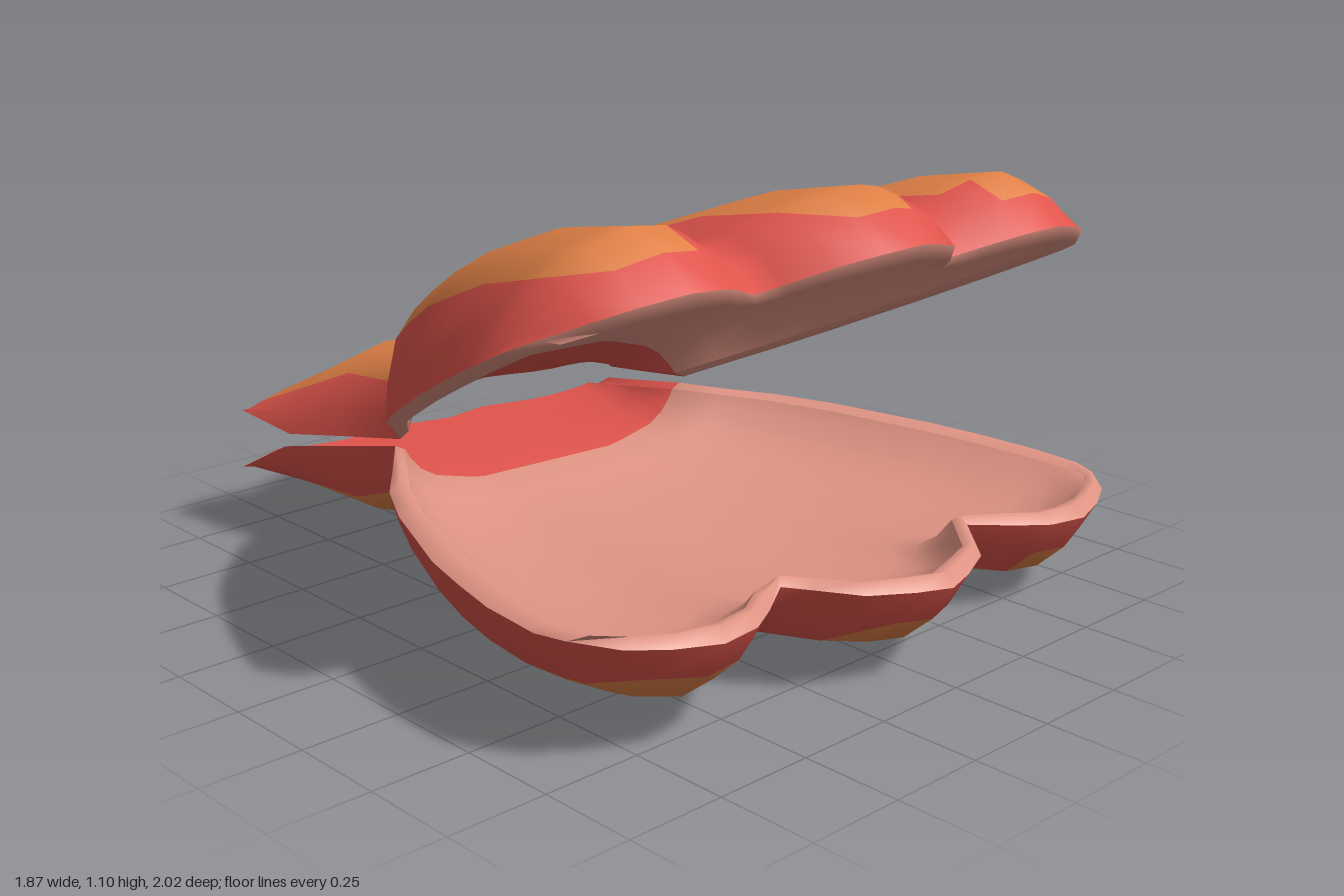
import * as THREE from 'three';

const mat = (name, color) => Object.assign(new THREE.MeshStandardMaterial({ color, side: THREE.DoubleSide }), { name });

// Piecewise-linear lookup through [key, value] pairs
function curve(pts) {
  return (t) => {
    if (t <= pts[0][0]) return pts[0][1];
    for (let i = 1; i < pts.length; i++) {
      const [a, va] = pts[i - 1], [b, vb] = pts[i];
      if (t <= b) return va + (vb - va) * (t - a) / (b - a);
    }
    return pts[pts.length - 1][1];
  };
}

// s runs across (-1..1), f runs from the back edge (-1) over the hinge (0) to the front rim (1)
const half = [0, 0.1, 0.22, 0.3, 0.355, 0.47, 0.56, 0.68, 0.8, 0.9, 0.97, 1];
const S = [...half.slice(1).reverse().map((v) => -v), ...half];
const F = [-1, -0.7, -0.4, 0, 0.1, 0.21, 0.35, 0.47, 0.6, 0.73, 0.85, 0.91, 0.965, 1];

// Plan outline
const width = curve([[-1, 0.61], [-0.4, 0.54], [0, 0.5], [0.26, 0.72], [0.63, 0.87], [0.85, 0.915], [1, 0.92]]);
const frontReach = curve([[0, 1.4], [0.2, 1.34], [0.355, 1.18], [0.54, 1.29], [0.7, 1.31], [0.85, 1.25], [0.935, 1.2], [1, 1.05]]);
const backReach = curve([[0, 0.515], [0.3, 0.61], [0.57, 0.51], [1, 0.565]]);

// Dome: side-to-side arch, grooves between the lobes that deepen towards the front, and depth along the shell
const arch = curve([[0.68, 1], [0.8, 0.9], [0.9, 0.7], [0.97, 0.35], [1, 0]]);
const groove = curve([[0, 0], [0.1, 0.08], [0.22, 0.4], [0.3, 0.8], [0.355, 1], [0.47, 0.45], [0.56, 0.12], [0.68, 0]]);
const grooveDepth = curve([[-1, 0.14], [0, 0.1], [0.35, 0.12], [0.73, 0.2], [0.91, 0.25]]);
const outerDepth = curve([[-1, 0.11], [-0.4, 0.225], [0, 0.19], [0.21, 0.305], [0.47, 0.318], [0.73, 0.278], [0.91, 0.21], [0.965, 0.13], [1, 0.03]]);
const rimDepth = curve([[-1, 0.06], [-0.7, 0], [0, 0], [0.1, 0.022]]);

// Lining: a plain dish without lobes
const dish = curve([[0.5, 1], [0.8, 0.72], [0.9, 0.5], [0.97, 0.2], [1, 0]]);
const innerDepth = curve([[-1, 0.01], [-0.4, 0.08], [0, 0.13], [0.21, 0.17], [0.47, 0.17], [0.73, 0.15], [0.91, 0.11], [0.965, 0.06], [1, 0]]);

// Smooth sheet through a grid of points; pick(i, j, k) gives the material index of each triangle
function sheet(name, rows, flip, materials, pick) {
  const n = rows[0].length;
  const lists = materials.map(() => []);
  for (let i = 0; i < rows.length - 1; i++) {
    for (let j = 0; j < n - 1; j++) {
      const a = i * n + j, b = a + n, c = a + 1, d = b + 1;
      // Mirror the diagonals about the centre line
      const tris = j < n / 2 - 1 ? [[b, d, a], [d, c, a]] : [[a, b, c], [b, d, c]];
      tris.forEach(([p, q, r], k) => lists[pick(i, j, k)].push(...(flip ? [p, r, q] : [p, q, r])));
    }
  }
  const geo = new THREE.BufferGeometry();
  geo.setAttribute('position', new THREE.Float32BufferAttribute(rows.flat(2), 3));
  geo.setIndex(lists.flat());
  let start = 0;
  lists.forEach((l, m) => {
    geo.addGroup(start, l.length, m);
    start += l.length;
  });
  geo.computeVertexNormals();
  const mesh = new THREE.Mesh(geo, materials);
  mesh.name = name;
  return mesh;
}

function makeShell(name, mats, { dir, hingeY, open, bend, deep, shift }) {
  const group = new THREE.Group();
  group.name = name;

  // Place a point: across, along, and depth towards the dome
  const place = (s, f, d) => {
    const u = Math.abs(s);
    const along = f > 0 ? f * frontReach(u) : f * backReach(u);
    const angle = f > 0 ? open : f < 0 ? bend : (open + bend) / 2;
    const c = Math.cos(angle), n = Math.sin(angle);
    return [s * width(f), hingeY + dir * (along * n + d * deep * c), -0.4 + along * c - d * deep * n];
  };
  const outer = (s, f) => {
    const u = Math.abs(s);
    return place(s, f, Math.max(rimDepth(f), outerDepth(f) * (arch(u) - groove(u) * grooveDepth(f))));
  };
  // The lining stops short of the back edge, so the end wall slopes under it
  const inner = (s, f) => place(s * 0.94, f * (f > 0 ? 0.955 : 0.84), innerDepth(f) * dish(Math.abs(s)) + 0.015);
  // Crest of the lip; on the flange simply halfway between dome and lining
  const crest = (s, f) => {
    if (f > 0) return place(s * 0.972, f * 0.98, 0);
    const q = inner(s, f);
    return outer(s, f).map((v, k) => (v + q[k]) / 2);
  };
  const down = dir < 0;

  // Outer dome: broad stripes on the lobes, grooves and margin in the second colour
  const rounded = F.indexOf(0.91);
  const outside = (i, j, k) => {
    const u = Math.abs(S[j] + S[j + 1]) / 2;
    if ((u > 0.22 && u < 0.47) || u > 0.9 || i > rounded) return 1;
    if (i === rounded) {
      // Trim the corners where each stripe ends
      const lo = Math.min(Math.abs(S[j]), Math.abs(S[j + 1]));
      if (lo === 0.8 || lo === 0.1) return S[j] < 0 ? 1 - k : k;
      if (lo === 0.47) return 1;
    }
    return 0;
  };
  group.add(sheet('outerShell', F.map((f) => S.map((s) => outer(s, f))), down, [mats.orange, mats.red], outside));

  // Inner lining, with the hinge flange in the margin colour
  group.add(sheet('innerLining', F.map((f) => S.map((s) => inner(s, f))), !down, [mats.pink, mats.red],
    (i) => (F[i] < 0 ? 1 : 0)));

  // Rounded lip and end wall joining the dome to the lining
  const loop = [
    ...F.map((f) => [-1, f]),
    ...S.slice(1).map((s) => [s, 1]),
    ...[...F].reverse().slice(1).map((f) => [1, f]),
    ...[...S].reverse().slice(1).map((s) => [s, -1]),
  ];
  group.add(sheet('lip', [outer, crest, inner].map((ring) => loop.map(([s, f]) => ring(s, f))), down,
    [mats.pink, mats.red], (i, j) => (loop[j][1] + loop[j + 1][1] < 0 ? 1 : 0)));

  // Slight sideways tilt
  group.rotation.z = -0.033;
  group.position.x = shift;
  return group;
}

export function createModel() {
  const mats = {
    orange: mat('shellOrange', 0xe38247),
    red: mat('shellRed', 0xe0544c),
    pink: mat('liningPink', 0xe09484),
  };
  const model = new THREE.Group();
  model.name = 'openClam';
  model.add(
    makeShell('lowerShell', mats, { dir: -1, hingeY: 0.34, open: 0.045, bend: -0.2, deep: 0.92, shift: -0.03 }),
    makeShell('upperShell', mats, { dir: 1, hingeY: 0.355, open: 0.455, bend: 0.16, deep: 1, shift: -0.015 }),
  );
  return model;
}
